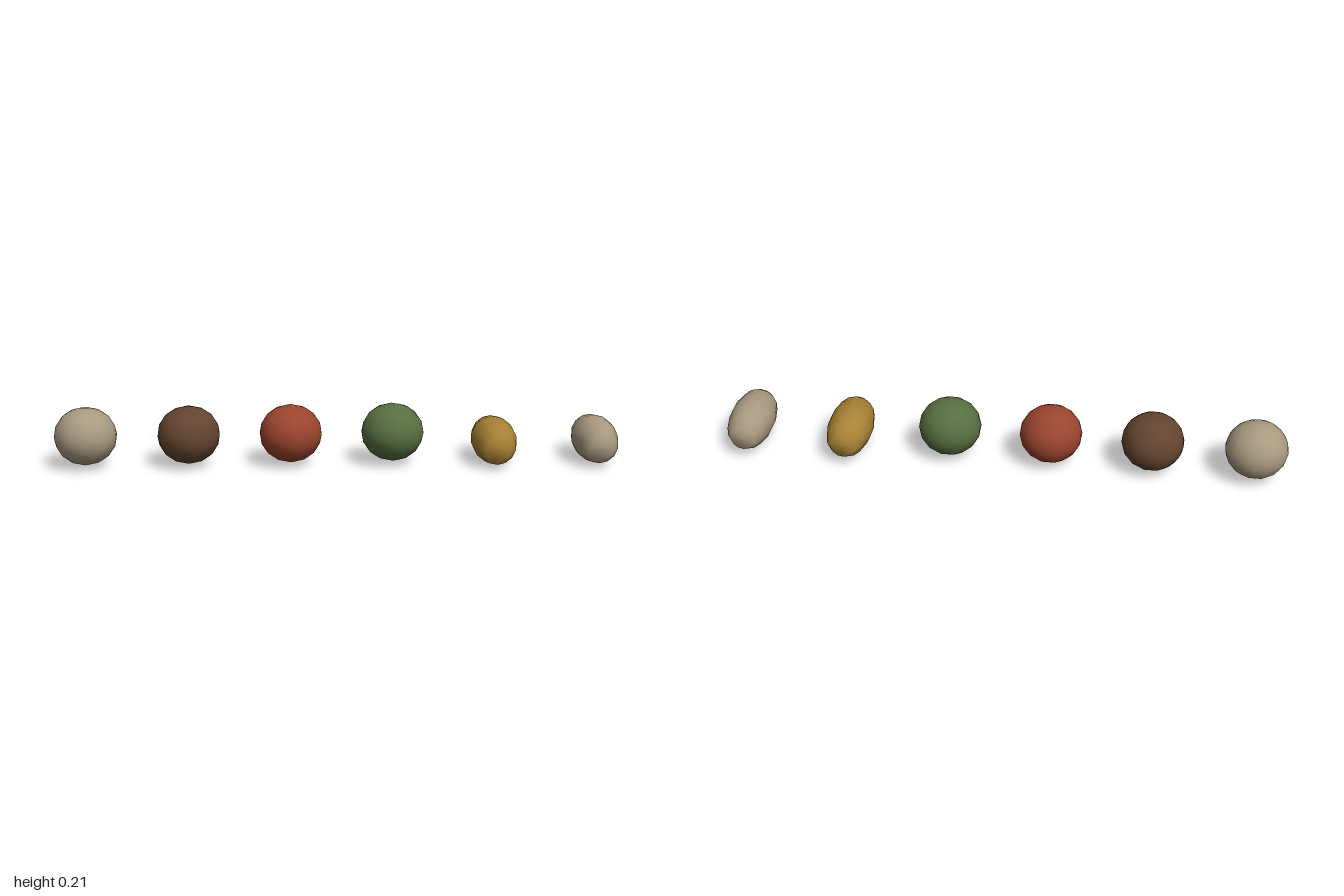
import * as THREE from 'three';

const paint = (name, color) => {
  const m = new THREE.MeshStandardMaterial({ color });
  m.name = name;
  return m;
};

export function createModel() {
  const group = new THREE.Group();
  const tan = paint('tan', 0xa99a80);
  const brown = paint('brown', 0x644530);
  const red = paint('red', 0x9c452f);
  const green = paint('green', 0x587042);
  const gold = paint('gold', 0xa88235);

  // Round beads, slightly flattened, in a row
  const ball = new THREE.IcosahedronGeometry(1, 2);
  const balls = [
    ['tanBall', tan, -0.889],
    ['brownBall', brown, -0.527],
    ['redBall', red, -0.167],
    ['greenBall', green, 0.194],
  ];
  for (const [name, material, x] of balls) {
    const mesh = new THREE.Mesh(ball, material);
    mesh.name = name;
    mesh.scale.set(0.111, 0.103, 0.112);
    mesh.position.set(x, 0.116, 0);
    group.add(mesh);
  }

  // Long beads: barrel profile with blunt ends, axis along z
  const half = [[0.079, 0.03], [0.066, 0.1], [0.044, 0.137], [0, 0.14]];
  const profile = [
    ...half.map(([r, h]) => new THREE.Vector2(r, -h)).reverse(),
    ...half.map(([r, h]) => new THREE.Vector2(r, h)),
  ];
  const barrel = new THREE.LatheGeometry(profile, 14).rotateX(Math.PI / 2);
  for (const [name, material, x] of [['goldBarrel', gold, 0.557], ['tanBarrel', tan, 0.92]]) {
    const mesh = new THREE.Mesh(barrel, material);
    mesh.name = name;
    mesh.position.set(x, 0.081, 0);
    group.add(mesh);
  }
  return group;
}
